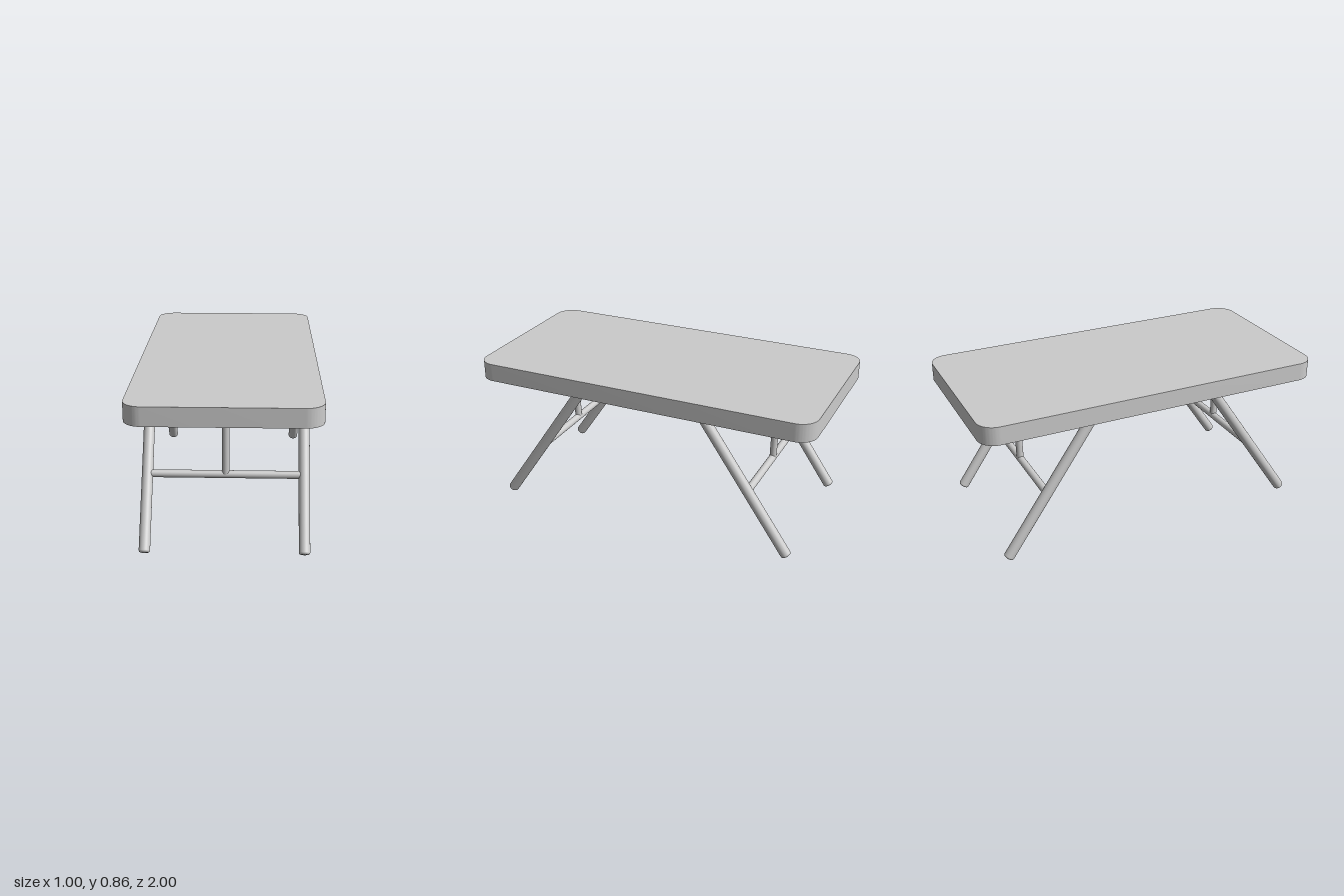
import * as THREE from 'three';
import { toCreasedNormals } from 'three/addons/utils/BufferGeometryUtils.js';

const material = new THREE.MeshStandardMaterial({ color: 0xcccccc });
const UP = new THREE.Vector3(0, 1, 0);

// Tube with softly rounded ends running from point a to point b
function rod(name, a, b, radius, bevel) {
  const start = new THREE.Vector3(...a);
  const dir = new THREE.Vector3(...b).sub(start);
  const length = dir.length();
  const profile = [new THREE.Vector2(0, 0)];
  for (let i = 0; i <= 4; i++) {
    const t = (i / 4) * Math.PI / 2;
    profile.push(new THREE.Vector2(radius - bevel + bevel * Math.sin(t), bevel - bevel * Math.cos(t)));
  }
  // mirror the rounded end to the far end
  profile.push(...profile.slice().reverse().map(p => new THREE.Vector2(p.x, length - p.y)));
  const mesh = new THREE.Mesh(new THREE.LatheGeometry(profile, 32), material);
  mesh.name = name;
  mesh.position.copy(start);
  mesh.quaternion.setFromUnitVectors(UP, dir.normalize());
  return mesh;
}

// Rounded rectangular slab
function tabletop(width, depth, height, r) {
  const x = width / 2 - r, y = depth / 2 - r;
  const shape = new THREE.Shape();
  shape.absarc(x, y, r, 0, Math.PI / 2);
  shape.absarc(-x, y, r, Math.PI / 2, Math.PI);
  shape.absarc(-x, -y, r, Math.PI, Math.PI * 1.5);
  shape.absarc(x, -y, r, Math.PI * 1.5, Math.PI * 2);
  const geometry = new THREE.ExtrudeGeometry(shape, { depth: height, bevelEnabled: false, curveSegments: 12 });
  geometry.rotateX(-Math.PI / 2);
  const mesh = new THREE.Mesh(toCreasedNormals(geometry, 0.6), material);
  mesh.name = 'tabletop';
  return mesh;
}

export function createModel() {
  const group = new THREE.Group();
  group.name = 'foldingTable';

  const top = tabletop(1, 2, 0.103, 0.1);
  top.position.y = 0.759;
  group.add(top);

  // One splayed trestle at each end
  for (const end of [1, -1]) {
    const trestle = new THREE.Group();
    trestle.name = end > 0 ? 'frontTrestle' : 'backTrestle';
    for (const side of [1, -1]) {
      const x = side * 0.42;
      trestle.add(rod(side > 0 ? 'leftLeg' : 'rightLeg', [x, 0.013, end * 0.882], [x, 0.785, end * 0.351], 0.03, 0.012));
    }
    trestle.add(rod('crossbar', [-0.42, 0.363, end * 0.641], [0.42, 0.363, end * 0.641], 0.021, 0.005));
    trestle.add(rod('centreBrace', [0, 0.363, end * 0.642], [0, 0.79, end * 0.651], 0.02, 0.005));
    group.add(trestle);
  }
  return group;
}
